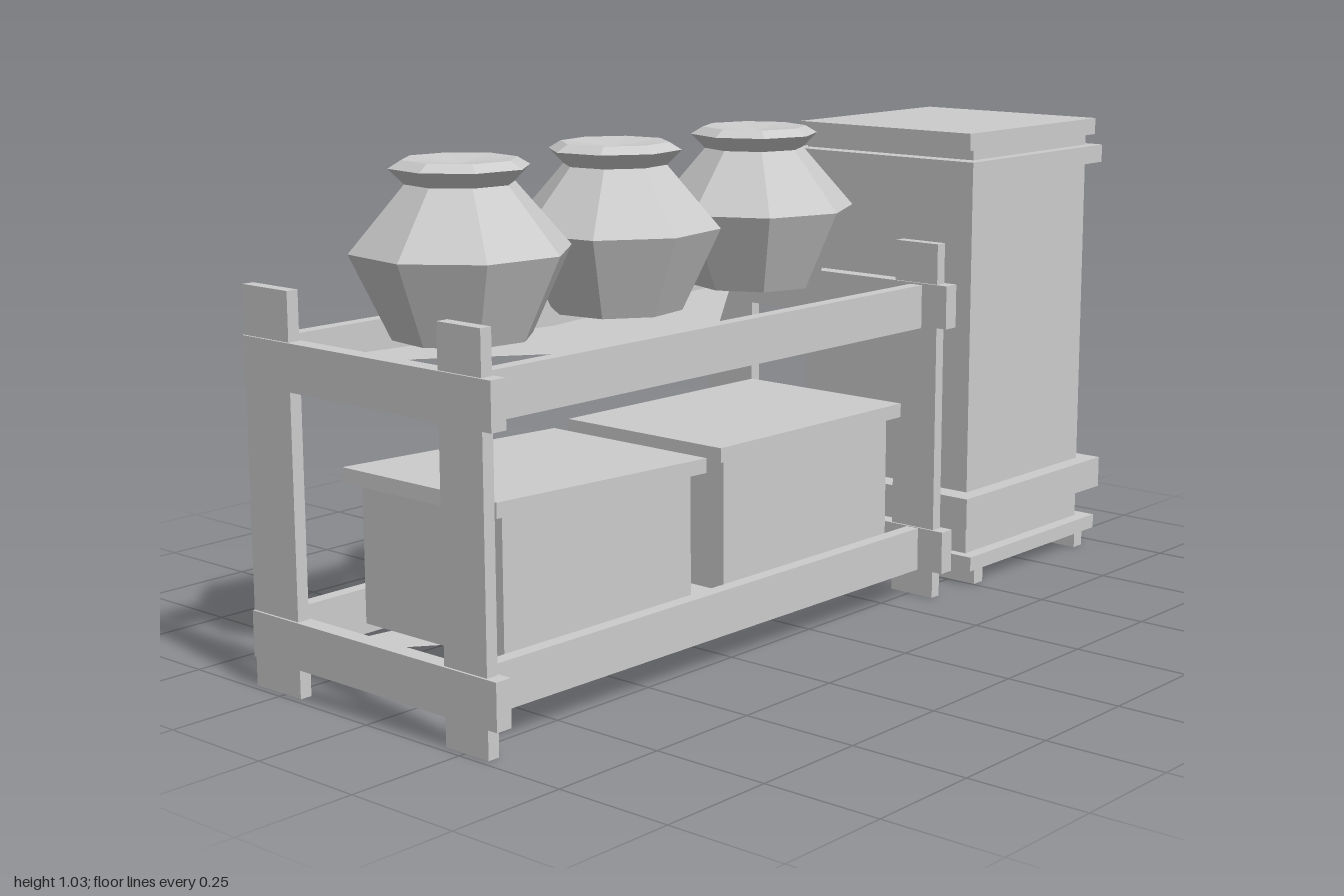
import * as THREE from 'three';

export function createModel() {
  const model = new THREE.Group();
  const mat = new THREE.MeshStandardMaterial({ color: 0xcccccc, flatShading: true, side: THREE.DoubleSide });

  const add = (parent, name, geo) => {
    const mesh = new THREE.Mesh(geo, mat);
    mesh.name = name;
    parent.add(mesh);
    return mesh;
  };
  // Box given by its extents along each axis
  const box = (parent, name, [x0, x1], [y0, y1], [z0, z1]) => {
    const mesh = add(parent, name, new THREE.BoxGeometry(x1 - x0, y1 - y0, z1 - z0));
    mesh.position.set((x0 + x1) / 2, (y0 + y1) / 2, (z0 + z1) / 2);
    return mesh;
  };
  const group = (name) => {
    const g = new THREE.Group();
    g.name = name;
    model.add(g);
    return g;
  };

  // Rack: four flat posts, tied by end boards and long boards at two levels
  const rack = group('rack');
  for (const x of [-0.972, 0.367]) {
    box(rack, 'rearPost', [x - 0.013, x + 0.013], [0, 0.79], [-0.335, -0.205]);
    box(rack, 'frontPost', [x - 0.013, x + 0.013], [0, 0.78], [0.2, 0.31]);
    for (const y of [0.06, 0.6]) {
      box(rack, 'endBoard', [x - 0.018, x + 0.018], [y, y + 0.093], [-0.335, 0.338]);
    }
  }
  for (const y of [0.065, 0.6]) {
    box(rack, 'rearBoard', [-0.93, 0.33], [y, y + 0.093], [-0.3, -0.27]);
    const front = box(rack, 'frontBoard', [-0.93, 0.33], [y, y + 0.093], [0.25, 0.28]);
    front.rotation.y = -0.012;
  }

  // Thin shelf sheets with a notched back edge
  const sheet = new THREE.Shape([[-0.96, 0.27], [-0.32, 0.17], [0.36, 0.27], [-0.3, -0.24]]
    .map(([x, y]) => new THREE.Vector2(x, y)));
  for (const y of [0.07, 0.64]) {
    const shelf = add(rack, 'shelfSheet', new THREE.ShapeGeometry(sheet));
    shelf.rotation.x = -Math.PI / 2;
    shelf.position.y = y;
  }

  // Two lidded crates on the lower shelf
  for (const [x0, x1, tilt] of [[-0.855, -0.34, -0.035], [-0.24, 0.3, -0.008]]) {
    const crate = group('crate');
    box(crate, 'crateBody', [x0, x1], [0.13, 0.41], [-0.16, 0.22]);
    const lid = box(crate, 'crateLid', [x0 - 0.032, x1 + 0.025], [0.402, 0.432], [-0.18, 0.24]);
    lid.rotation.z = tilt;
  }

  // Three faceted jars on the upper shelf
  const profile = [[0, 0.695], [0.135, 0.695], [0.213, 0.86], [0.105, 0.985], [0.135, 1.015], [0.11, 1.03], [0, 1.02]]
    .map(([r, y]) => new THREE.Vector2(r, y));
  [-0.735, -0.315, 0.115].forEach((x, i) => {
    const jar = add(model, 'jar', new THREE.LatheGeometry(profile, 8));
    jar.position.x = x;
    jar.rotation.y = 0.25 + i * 0.3;
  });

  // Tall cabinet with a top slab, bands and short legs
  const cabinet = group('cabinet');
  box(cabinet, 'cabinetBody', [0.508, 0.958], [0.05, 0.985], [-0.168, 0.29]);
  box(cabinet, 'topSlab', [0.482, 0.982], [0.968, 1.005], [-0.17, 0.3]);
  box(cabinet, 'upperBand', [0.468, 0.985], [0.905, 0.945], [-0.187, 0.318]);
  box(cabinet, 'lowerBand', [0.455, 0.997], [0.135, 0.205], [-0.197, 0.328]);
  box(cabinet, 'baseBand', [0.485, 0.992], [0.033, 0.065], [-0.195, 0.32]);
  for (const x of [0.52, 0.93]) {
    for (const z of [-0.137, 0.26]) {
      box(cabinet, 'cabinetLeg', [x - 0.016, x + 0.016], [0, 0.06], [z - 0.058, z + 0.058]);
    }
  }

  return model;
}
